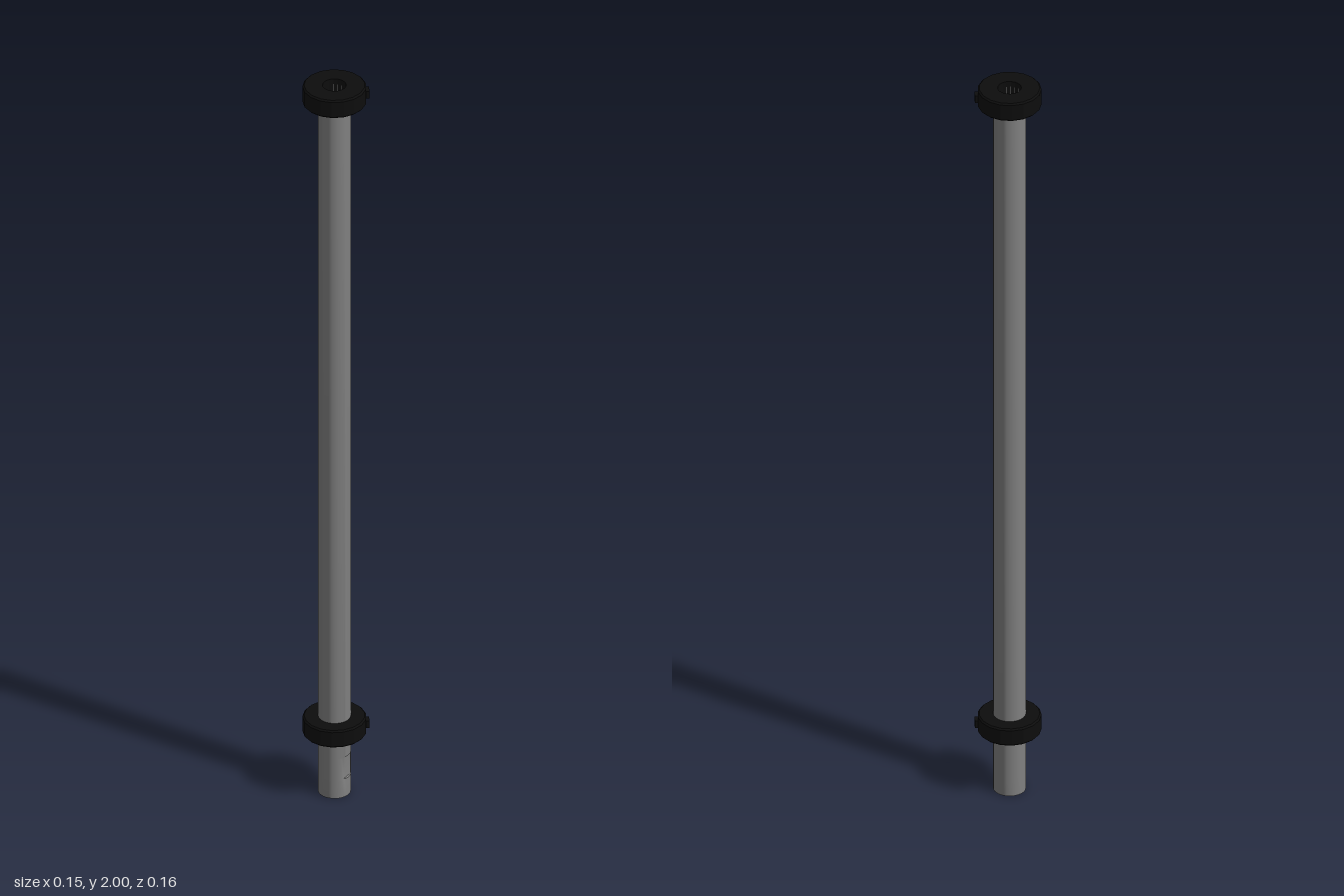
import * as THREE from 'three';
import { toCreasedNormals } from 'three/addons/utils/BufferGeometryUtils.js';

const steel = new THREE.MeshStandardMaterial({ color: 0x808080 });
const black = new THREE.MeshStandardMaterial({ color: 0x0d0d0d });

// Closed ring profile, turned around y with a corner on +x
function turned(points, sides) {
  const profile = [...points, points[0]].map(([r, y]) => new THREE.Vector2(r, y));
  return new THREE.LatheGeometry(profile, sides, Math.PI / 2);
}

function named(name, geometry, material, crease = 0.6) {
  const mesh = new THREE.Mesh(toCreasedNormals(geometry, crease), material);
  mesh.name = name;
  return mesh;
}

// Hollow shaft with a shallow flat near its foot on the +x side
function makeTube() {
  const geometry = turned([
    [0.04, 0], [0.04, 0.05], [0.04, 0.052], [0.04, 0.11], [0.04, 0.112],
    [0.04, 1.985], [0.029, 1.985], [0.029, 0],
  ], 32);
  const p = geometry.attributes.position;
  for (let i = 0; i < p.count; i++) {
    const y = p.getY(i);
    if (y > 0.051 && y < 0.111) p.setX(i, Math.min(p.getX(i), 0.036));
  }
  return named('tube', geometry, steel);
}

// Clamping ring with a small raised lug on its rim
function makeCollar(name, bottom, top, bore) {
  const group = new THREE.Group();
  group.name = name;
  const b = 0.004;
  group.add(named('ring', turned([
    [bore, bottom], [0.074, bottom], [0.078, bottom + b],
    [0.078, top - b], [0.074, top], [bore, top],
  ], 17), black, 0.3));

  const lug = named('lug', new THREE.BoxGeometry(0.03, 0.02, 0.022), black);
  const angle = 0.62;
  lug.position.set(0.07 * Math.cos(angle), (bottom + top) / 2, -0.07 * Math.sin(angle));
  lug.rotation.y = angle;
  group.add(lug);
  return group;
}

export function createModel() {
  const model = new THREE.Group();
  model.name = 'pole';
  model.add(
    makeTube(),
    makeCollar('topCollar', 1.95, 2, 0.029),
    makeCollar('lowerCollar', 0.165, 0.213, 0.038),
  );
  return model;
}
